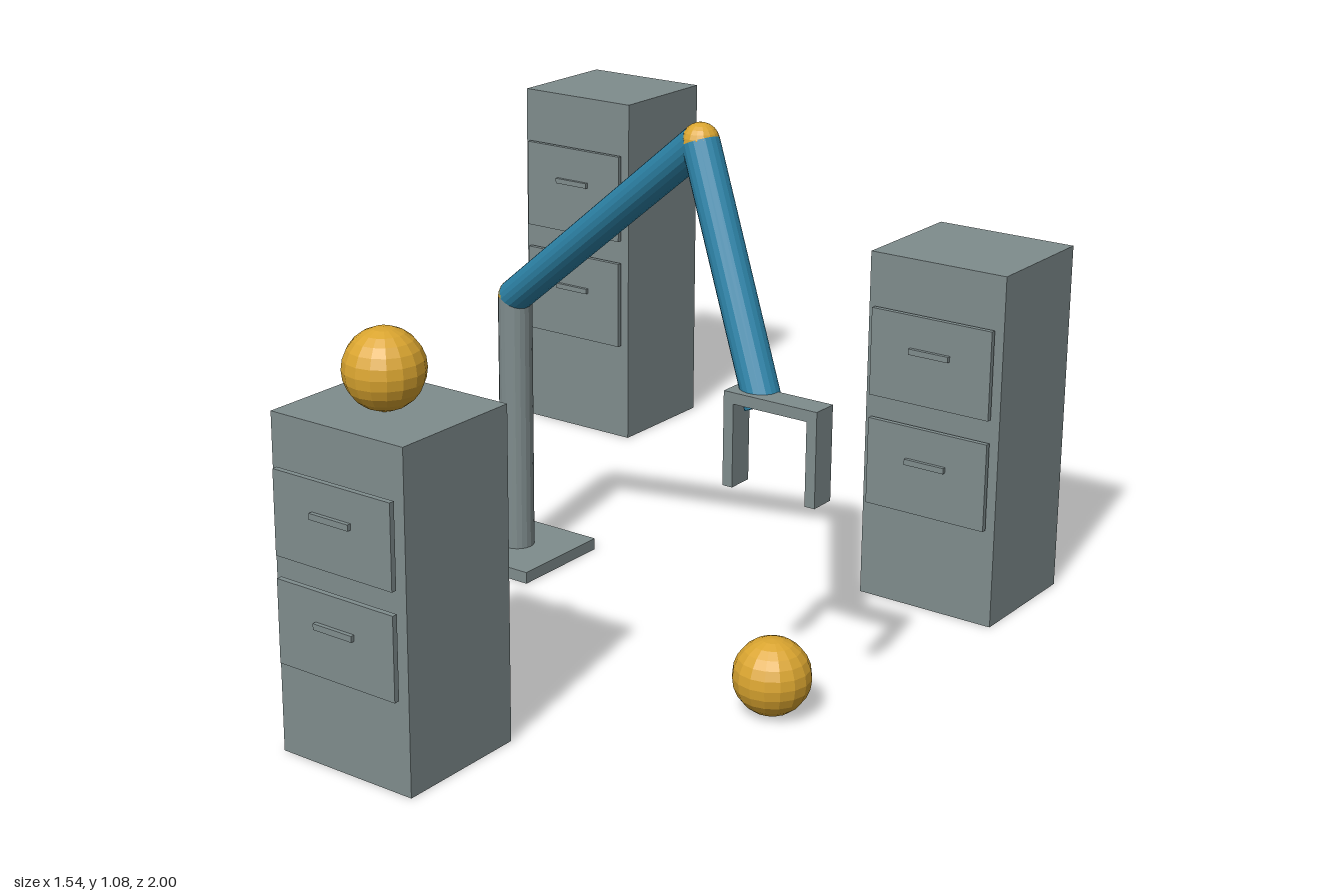
import * as THREE from 'three';

const mat = (name, color, flatShading = false) => {
  const m = new THREE.MeshStandardMaterial({ color, flatShading });
  m.name = name;
  return m;
};

export function createModel() {
  const root = new THREE.Group();
  root.name = 'robotArmWithCabinets';
  const grey = mat('steelGrey', 0x7f8c8d, true);
  const blue = mat('armBlue', 0x2e86ab, true);
  const gold = mat('ballGold', 0xdaa530, true);

  const add = (parent, name, geometry, material, x, y, z) => {
    const mesh = new THREE.Mesh(geometry, material);
    mesh.name = name;
    mesh.position.set(x, y, z);
    parent.add(mesh);
    return mesh;
  };
  const box = (parent, name, w, h, d, x, y, z) =>
    add(parent, name, new THREE.BoxGeometry(w, h, d), grey, x, y, z);
  const ball = (parent, name, r, p) =>
    add(parent, name, new THREE.SphereGeometry(r, 16, 12), gold, p.x, p.y, p.z);

  // Round bar between two points
  const bar = (parent, name, a, b, r, material) => {
    const dir = b.clone().sub(a);
    const mid = a.clone().add(b).multiplyScalar(0.5);
    const mesh = add(parent, name, new THREE.CylinderGeometry(r, r, dir.length(), 20), material, mid.x, mid.y, mid.z);
    mesh.quaternion.setFromUnitVectors(new THREE.Vector3(0, 1, 0), dir.normalize());
  };

  // Cabinets: body, two drawer fronts and their handles; z is the body's front
  const cabinet = (name, x, z, h) => {
    const g = new THREE.Group();
    g.name = name;
    g.position.set(x, 0, z);
    box(g, 'cabinetBody', 0.304, h, 0.276, 0, h / 2, -0.138);
    for (const level of [0.408, 0.725]) {
      box(g, 'drawerFront', 0.271, h * 0.25, 0.011, 0, h * level, 0.0125);
      box(g, 'drawerHandle', 0.09, 0.012, 0.01, 0, h * (level + 0.025), 0.021);
    }
    root.add(g);
  };
  cabinet('tallCabinet', -0.623, -0.724, 0.823);
  cabinet('middleCabinet', 0.618, -0.271, 0.735);
  cabinet('shortCabinet', 0.166, 0.974, 0.652);

  // Robot arm
  const arm = new THREE.Group();
  arm.name = 'robotArm';
  root.add(arm);
  const shoulder = new THREE.Vector3(-0.229, 0.58, 0);
  const elbow = new THREE.Vector3(0.395, 1.043, 0.227);
  const wrist = new THREE.Vector3(0.59, 0.592, 0.297);
  const r = 0.036;
  box(arm, 'basePlate', 0.236, 0.025, 0.236, -0.229, 0.0125, 0);
  bar(arm, 'column', new THREE.Vector3(-0.229, 0.02, 0), shoulder, r, grey);
  ball(arm, 'shoulderJoint', r, shoulder);
  bar(arm, 'upperArm', shoulder, elbow, r, blue);
  ball(arm, 'elbowJoint', r, elbow);
  bar(arm, 'forearm', elbow, wrist, r, blue);

  // Gripper: palm with two hanging fingers
  const gripper = new THREE.Group();
  gripper.name = 'gripper';
  gripper.position.set(0.632, 0, 0.315);
  box(gripper, 'palm', 0.199, 0.022, 0.053, 0, 0.612, 0);
  for (const side of [-1, 1]) {
    box(gripper, 'finger', 0.021, 0.165, 0.053, side * 0.089, 0.5225, 0);
  }
  arm.add(gripper);

  // Loose balls: on the floor and on the short cabinet
  ball(root, 'floorBall', 0.0755, new THREE.Vector3(0.632, 0.0755, 0.314));
  ball(root, 'cabinetBall', 0.0755, new THREE.Vector3(0.166, 0.726, 0.846));

  return root;
}
